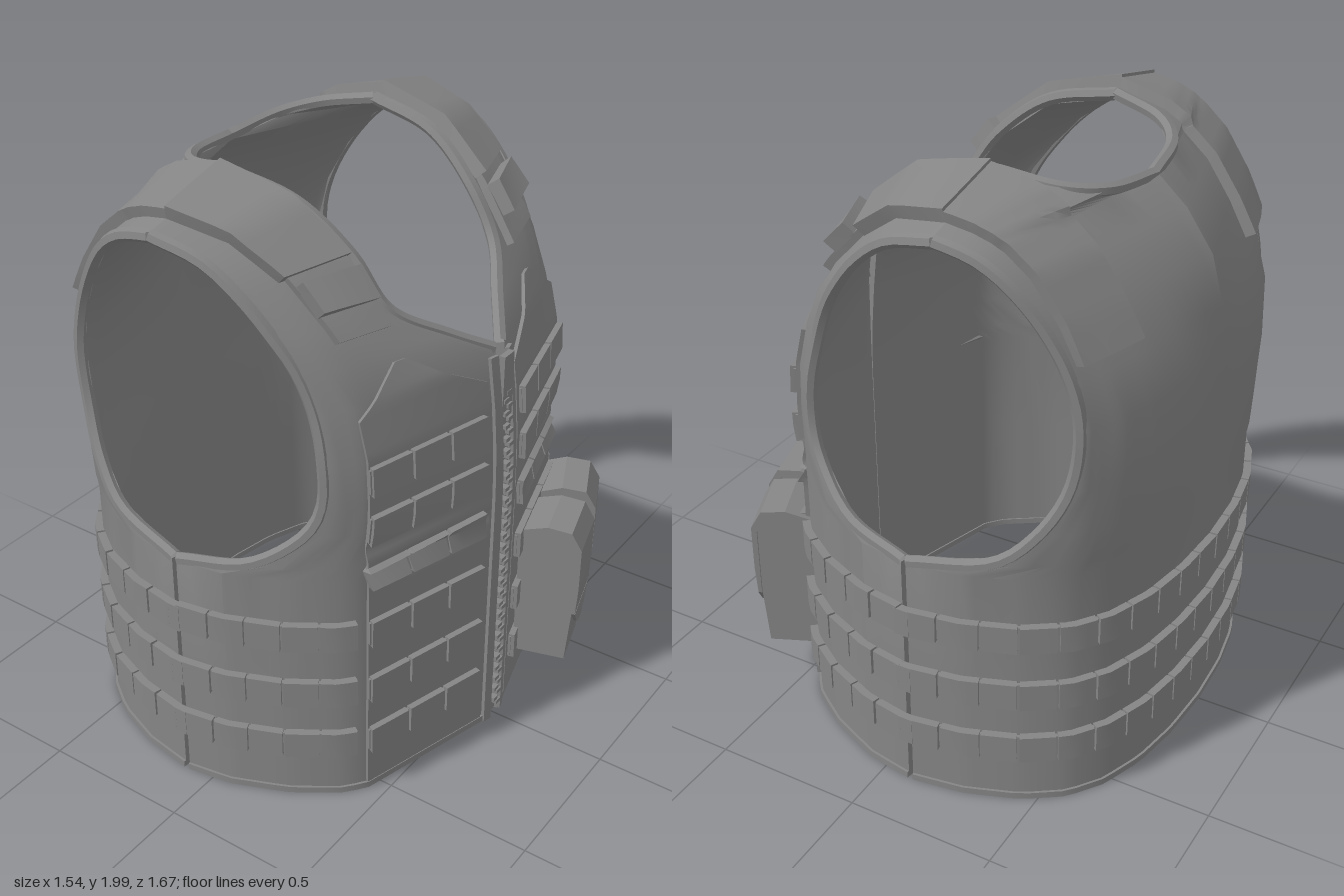
import * as THREE from 'three';
import { toCreasedNormals, mergeGeometries } from 'three/addons/utils/BufferGeometryUtils.js';

// Each row runs from the inner edge to the outer edge: xi, yi, zi, xo, yo, zo (+z half).
const frontRows = [
  [.582, 0, .025, -.092, 0, .81], [.582, .45, .025, -.092, .45, .81], [.582, .83, .025, -.092, .84, .81],
  [.582, .9, .025, .145, .88, .75], [.58, 1, .025, .3, 1, .67], [.575, 1.1, .025, .342, 1.1, .645],
  [.562, 1.25, .025, .343, 1.25, .64], [.54, 1.42, .025, .31, 1.4, .635], [.45, 1.5, .15, .26, 1.53, .65],
  [.34, 1.61, .3, .2, 1.63, .67], [.23, 1.765, .33, .11, 1.74, .69], [.06, 1.9, .36, -.01, 1.83, .71],
  [-.18, 1.955, .38, -.18, 1.875, .73],
];
const backRows = [
  [-.74, 0, 0, -.108, 0, .81], [-.74, .45, 0, -.108, .45, .81], [-.745, .84, 0, -.108, .84, .81],
  [-.745, .9, 0, -.38, .89, .75], [-.745, 1, 0, -.5, 1, .7], [-.745, 1.15, 0, -.575, 1.15, .655],
  [-.745, 1.35, 0, -.6, 1.35, .645], [-.73, 1.5, 0, -.57, 1.5, .65], [-.69, 1.65, 0, -.5, 1.65, .67],
  [-.6, 1.78, 0, -.41, 1.77, .7], [-.5, 1.87, 0, -.335, 1.83, .715], [-.46, 1.89, .22, -.29, 1.85, .72],
  [-.36, 1.92, .33, -.24, 1.865, .727], [-.18, 1.955, .38, -.18, 1.875, .73],
];
// Horizontal outline of the torso as x, z
const frontRing = [[.588, 0], [.572, .06], [.435, .55], [.375, .62], [.24, .71], [.06, .785], [-.092, .81]];
const backRing = [[-.74, 0], [-.73, .2], [-.7, .38], [-.645, .53], [-.57, .635], [-.45, .718], [-.28, .782], [-.108, .81]];

const { lerp, clamp } = THREE.MathUtils;
const ringX = (ring, z) => {
  let i = 0;
  while (i < ring.length - 2 && z > ring[i + 1][1]) i++;
  const [a, b] = [ring[i], ring[i + 1]];
  return lerp(a[0], b[0], clamp((z - a[1]) / (b[1] - a[1]), 0, 1));
};

// One face of the vest: at(v, z, off) gives a point off the surface along its normal
function makeFace(rows, ring, next, fade0, fade1, back) {
  const top = rows.length - 1, all = [...rows, next];
  const row = (v) => {
    const i = Math.min(Math.floor(v), all.length - 2);
    return all[i].map((n, k) => lerp(n, all[i + 1][k], v - i));
  };
  const base = (v, z) => {
    const [xi, yi, zi, xo, yo, zo] = row(v), f = (z - zi) / (zo - zi);
    const k = 1 - clamp((yi - fade0) / (fade1 - fade0), 0, 1);
    const bulge = ringX(ring, z) - lerp(ringX(ring, zi), ringX(ring, zo), f);
    return new THREE.Vector3(lerp(xi, xo, f) + k * bulge, lerp(yi, yo, f), z);
  };
  const at = (v, z, off = 0) => {
    const [, , zi, , , zo] = row(v);
    const dv = base(Math.min(v + .25, top + 1), z).sub(base(Math.max(v - .25, 0), z));
    const dz = base(v, Math.min(z + .03, zo)).sub(base(v, Math.max(z - .03, zi)));
    const n = dv.cross(dz).normalize().multiplyScalar(back ? -off : off);
    return base(v, z).add(n);
  };
  const vAt = (y) => {
    let i = 0;
    while (i < top - 1 && y > rows[i + 1][1]) i++;
    return i + (y - rows[i][1]) / (rows[i + 1][1] - rows[i][1]);
  };
  return { at, vAt, top, back, zi: (v) => row(v)[2], zo: (v) => row(v)[5], y: (v) => row(v)[1] };
}
const front = makeFace(frontRows, frontRing, backRows.at(-2), 1.42, 1.75, false);
const back = makeFace(backRows, backRing, frontRows.at(-2), 1.25, 1.65, true);

// Closed slab lying on a face between two heights and two z limits
function slab(face, v0, v1, nv, lo, hi, nu, inner, outer, ease = (t) => t) {
  const val = (e, v) => (typeof e === 'function' ? e(v) : e), pos = [], idx = [], n = 2 * (nu + 1);
  for (let i = 0; i <= nv; i++) {
    const v = lerp(v0, v1, i / nv);
    for (let j = 0; j < n; j++) {
      const t = ease((j <= nu ? j : n - 1 - j) / nu);
      pos.push(...face.at(v, lerp(val(lo, v), val(hi, v), t), j <= nu ? outer : inner).toArray());
    }
  }
  const tri = (a, b, c) => (face.back ? idx.push(a, c, b) : idx.push(a, b, c));
  const quad = (a, b, c, d) => { tri(a, b, c); tri(a, c, d); };
  for (let i = 0; i < nv; i++) for (let j = 0; j < n; j++) {
    const k = (j + 1) % n;
    quad(i * n + j, (i + 1) * n + j, (i + 1) * n + k, i * n + k);
  }
  const e = nv * n;
  for (let j = 0; j < nu; j++) {
    quad(j, j + 1, n - 2 - j, n - 1 - j);
    quad(e + j, e + n - 1 - j, e + n - 2 - j, e + j + 1);
  }
  const g = new THREE.BufferGeometry();
  g.setAttribute('position', new THREE.Float32BufferAttribute(pos, 3));
  g.setIndex(idx);
  return toCreasedNormals(g, .6);
}

// Copy reflected in z, with corner order corrected
function mirror(geo) {
  const g = geo.index ? geo.toNonIndexed() : geo.clone();
  for (const a of Object.values(g.attributes)) {
    const s = a.itemSize, arr = a.array;
    for (let i = 0; i < a.count; i += 3) for (let k = 0; k < s; k++) {
      const p = (i + 1) * s + k, q = (i + 2) * s + k;
      [arr[p], arr[q]] = [arr[q], arr[p]];
    }
    if (s === 3) for (let i = 2; i < arr.length; i += 3) arr[i] *= -1;
  }
  return g;
}

// z limits of n cells of equal length along the torso outline
function cellLimits(ring, z0, z1, n) {
  const zs = [], len = [0];
  for (let i = 0; i <= 300; i++) {
    zs.push(lerp(z0, z1, i / 300));
    if (i) len.push(len[i - 1] + Math.hypot(zs[i] - zs[i - 1], ringX(ring, zs[i]) - ringX(ring, zs[i - 1])));
  }
  return Array.from({ length: n + 1 }, (_, c) => zs[Math.max(0, len.findIndex((l) => l >= len[300] * c / n - 1e-9))]);
}

export function createModel() {
  const model = new THREE.Group();
  const fabric = new THREE.MeshStandardMaterial({ color: 0x858585 });
  fabric.name = 'greyFabric';
  const add = (name, geo, parent = model) => {
    const m = new THREE.Mesh(geo, fabric);
    m.name = name;
    parent.add(m);
  };
  const both = (name, geo) => { add(name + 'Left', geo); add(name + 'Right', mirror(geo)); };
  const ease = (t) => Math.sin(t * Math.PI / 2);

  // Shell, hem and edge binding
  for (const [name, f] of [['front', front], ['back', back]]) {
    both(name + 'Shell', slab(f, 0, f.top, f.top, f.zi, f.zo, 24, -.03, 0, ease));
    both(name + 'Hem', slab(f, 0, f.vAt(.022), 1, f.zi, f.zo, 24, -.035, .008, ease));
    const edge = (v0, z) => {
      const pts = [];
      for (let v = v0; v <= f.top; v++) pts.push(f.at(v, z(v), -.014));
      return toCreasedNormals(new THREE.TubeGeometry(new THREE.CatmullRomCurve3(pts), 36, .021, 6), .9);
    };
    both(name + 'ArmholeBinding', edge(2, f.zo));
    both(name + 'NeckBinding', edge(f.back ? 10 : 7, f.zi));
  }

  // Raised front panels with pointed tops
  const zLow = (v) => lerp(.075, .34, clamp((front.y(v) - 1.33) / .15, 0, 1));
  const zHigh = (v) => lerp(.55, .38, clamp((front.y(v) - 1.39) / .09, 0, 1));
  both('frontPanel', slab(front, front.vAt(.03), front.vAt(1.48), 48, zLow, zHigh, 6, -.005, .012));

  // Webbing rows split into cells
  const webbing = (name, f, y, limits, out) => {
    const v0 = f.vAt(y - .047), v1 = f.vAt(y + .047), parts = [];
    for (let c = 0; c < limits.length - 1; c++) {
      const g = (limits[c + 1] - limits[c]) * .03;
      parts.push(slab(f, v0, v1, 2, limits[c] + g, limits[c + 1] - g, 3, 0, out));
    }
    parts.push(slab(f, f.vAt(y - .04), f.vAt(y + .04), 1, limits[0], limits.at(-1), 20, 0, out - .012));
    both(name, mergeGeometries(parts));
  };
  const sideCells = cellLimits(frontRing, .575, .81, 5), backCells = cellLimits(backRing, 0, .81, 10);
  [.215, .42, .635, .845, 1.02, 1.185].forEach((y, i) => {
    webbing('frontWebbing', front, y, [.1, .25, .4, .55], .033);
    if (i > 2) return;
    webbing('sideWebbing', front, y, sideCells, .026);
    webbing('backWebbing', back, y, backCells, .026);
    both('seamWebbing', new THREE.BoxGeometry(.05, .094, .026).translate(-.1, y, .822));
  });

  // Shoulder pads, straps and buckles
  both('padFront', slab(front, 10, 12, 8, (v) => front.zi(v) + .025, (v) => lerp(.575, .66, (v - 10) / 2), 5, -.005, .045));
  both('padBack', slab(back, 7.25, 13, 23, (v) => Math.max(.4, back.zi(v) + .025), (v) => lerp(.625, .66, (v - 7) / 6), 5, -.005, .035));
  both('shoulderStrap', slab(front, 8.6, 10.2, 5, (v) => lerp(.34, .365, (v - 8.6) / 1.6), (v) => lerp(.53, .56, (v - 8.6) / 1.6), 4, -.005, .026));
  both('strapBuckle', slab(front, 9.2, 9.8, 2, .36, .55, 4, .02, .07));

  // Zip with flaps either side
  const flapTop = front.vAt(1.4);
  both('zipFlap', slab(front, 0, flapTop, 7, .027, .058, 2, -.005, .014));
  add('zipTape', new THREE.BoxGeometry(.02, 1.4, .056).translate(.566, .7, 0));
  const teeth = [];
  for (let i = 0; i < 56; i++) {
    const y = .05 + i * .0225, x = front.at(front.vAt(y), .026).x + .005;
    teeth.push(new THREE.BoxGeometry(.026, .014, .026).translate(x, y, i % 2 ? .009 : -.009));
  }
  add('zipTeeth', mergeGeometries(teeth));
  add('zipPull', new THREE.BoxGeometry(.02, .07, .025).translate(.565, 1.34, 0));

  // Two lidded pouches on the right front
  const extrude = (pts, w) => new THREE.ExtrudeGeometry(
    new THREE.Shape(pts.map(([x, y]) => new THREE.Vector2(x, y))), { depth: w, bevelEnabled: false }).translate(0, 0, -w / 2);
  for (const [x, z, a] of [[.582, -.257, .28], [.495, -.483, .42]]) {
    const pouch = new THREE.Group();
    pouch.name = 'pouch';
    add('pouchBody', extrude([[-.045, 0], [.135, 0], [.158, .3], [.158, .45], [.125, .51], [.05, .515], [-.045, .48]], .19), pouch);
    add('pouchLid', extrude([[-.045, .47], [.05, .505], [.118, .5], [.15, .445], [.15, .2], [.162, .2], [.168, .3],
      [.168, .46], [.132, .522], [.05, .53], [-.045, .5]], .205), pouch);
    const tip = extrude([[-.102, .2], [-.055, .14], [-.04, .145], [-.03, .12], [.03, .12], [.04, .145], [.055, .14], [.102, .2]], .012);
    add('pouchFlap', tip.rotateY(Math.PI / 2).translate(.157, 0, 0), pouch);
    pouch.position.set(x, .17, z);
    pouch.rotation.y = a;
    model.add(pouch);
  }
  return model;
}
